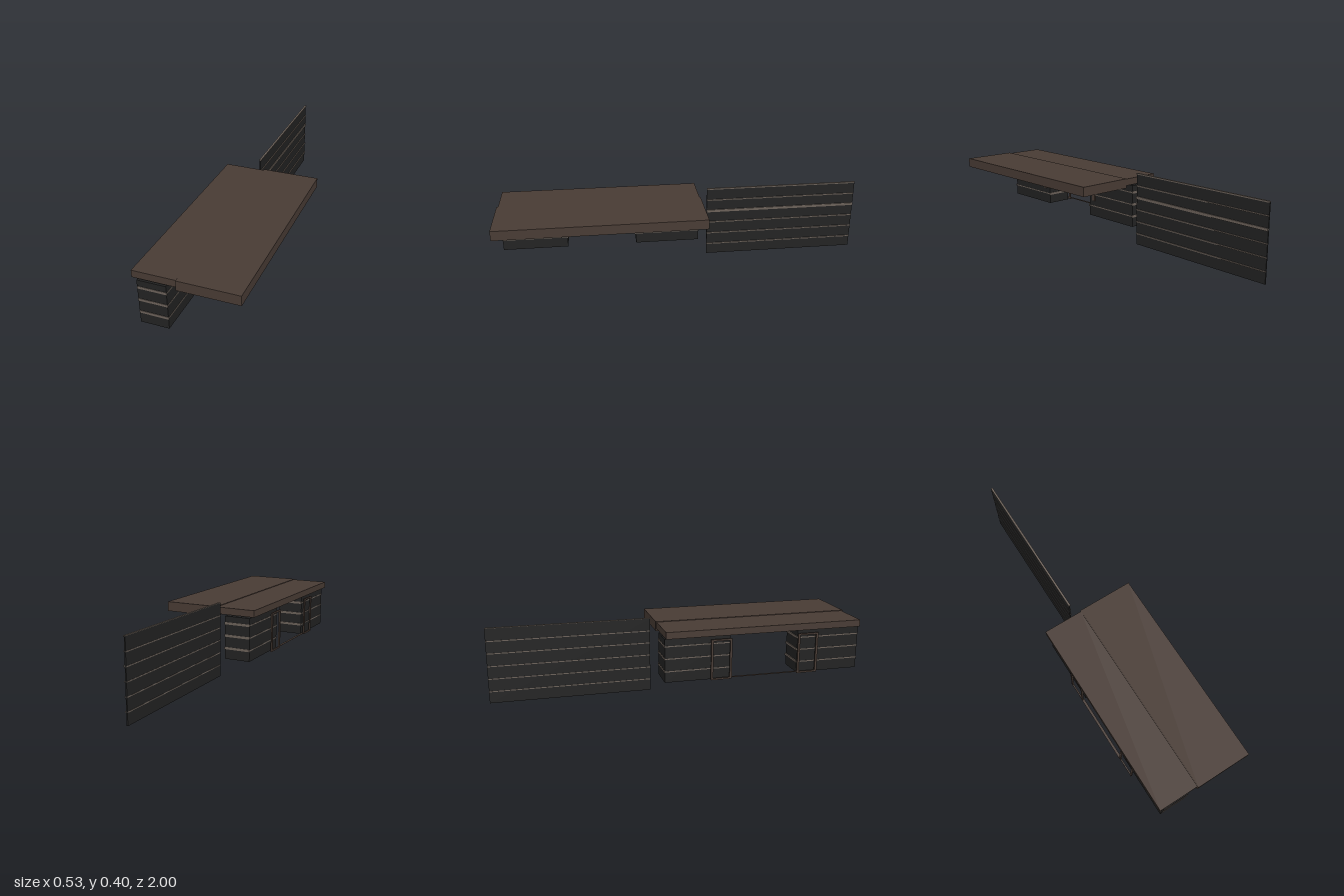
import * as THREE from 'three';

export function createModel() {
  const model = new THREE.Group();
  const mat = (name, color) => {
    const m = new THREE.MeshStandardMaterial({ color });
    m.name = name;
    return m;
  };
  const wood = mat('dark wood', 0x483b34);
  const black = mat('black panel', 0x222222);
  const trim = mat('taupe trim', 0x6b6159);

  // Box given by its minimum and maximum on each axis
  const box = (parent, name, material, [x0, x1], [y0, y1], [z0, z1]) => {
    const mesh = new THREE.Mesh(new THREE.BoxGeometry(x1 - x0, y1 - y0, z1 - z0), material);
    mesh.position.set((x0 + x1) / 2, (y0 + y1) / 2, (z0 + z1) / 2);
    mesh.name = name;
    parent.add(mesh);
  };
  const group = (name) => {
    const g = new THREE.Group();
    g.name = name;
    model.add(g);
    return g;
  };

  // Worktop in two slabs
  const top = group('worktop');
  box(top, 'thinSlab', wood, [-0.265, -0.045], [0.33, 0.367], [-0.1, 0.993]);
  box(top, 'thickSlab', wood, [-0.045, 0.263], [0.318, 0.37], [-0.105, 1]);

  // Mirrored pedestals; s is the outward z direction
  const midZ = 0.4475;
  for (const s of [1, -1]) {
    const span = (a, b) => [midZ + s * a, midZ + s * b].sort((p, q) => p - q);
    const ped = group(s > 0 ? 'frontPedestal' : 'rearPedestal');
    box(ped, 'cabinet', black, [-0.24, -0.095], [0.087, 0.323], span(0.192, 0.549));
    for (const y of [0.147, 0.216, 0.284]) {
      box(ped, 'endTrim', trim, [-0.24, -0.091], [y - 0.0065, y + 0.0065], span(0.549, 0.551));
      box(ped, 'innerTrim', trim, [-0.24, -0.091], [y - 0.0065, y + 0.0065], span(0.187, 0.192));
      box(ped, 'sideTrim', trim, [-0.095, -0.0935], [y - 0.003, y + 0.003], span(0.192, 0.549));
      box(ped, 'backTrim', trim, [-0.2415, -0.24], [y - 0.003, y + 0.003], span(0.192, 0.549));
    }
    // Upright pull on the inner side
    const hz = s > 0 ? 0.683 : 0.22;
    box(ped, 'handle', wood, [-0.095, -0.089], [0.18, 0.3], [hz - 0.011, hz + 0.011]);

    // Open rectangular frame behind the cabinet
    const frame = group(s > 0 ? 'frontFrame' : 'rearFrame');
    const x = [-0.263, -0.255];
    box(frame, 'upright', wood, x, [0.088, 0.311], span(0.187, 0.199));
    box(frame, 'upright', wood, x, [0.088, 0.311], span(0.291, 0.303));
    box(frame, 'bottomBar', wood, x, [0.088, 0.097], span(0.199, 0.291));
    box(frame, 'topBar', wood, x, [0.302, 0.311], span(0.199, 0.291));
  }
  // Flat strip joining the frames
  box(model, 'connectingRail', wood, [-0.265, -0.251], [0.096, 0.098], [0.26, 0.635]);

  // Upright screen with horizontal trims
  const screen = group('screen');
  const zs = [-1, -0.147];
  box(screen, 'screenPanel', black, [-0.09, -0.083], [0, 0.4], zs);
  box(screen, 'topRail', trim, [-0.09, -0.079], [0.396, 0.403], zs);
  for (const [y, h] of [[0.063, 0.006], [0.131, 0.006], [0.199, 0.006], [0.267, 0.014], [0.333, 0.006]]) {
    box(screen, 'screenTrim', trim, [-0.083, -0.078], [y - h / 2, y + h / 2], zs);
    box(screen, 'rearScreenTrim', trim, [-0.0915, -0.09], [y - 0.0025, y + 0.0025], zs);
  }
  return model;
}
